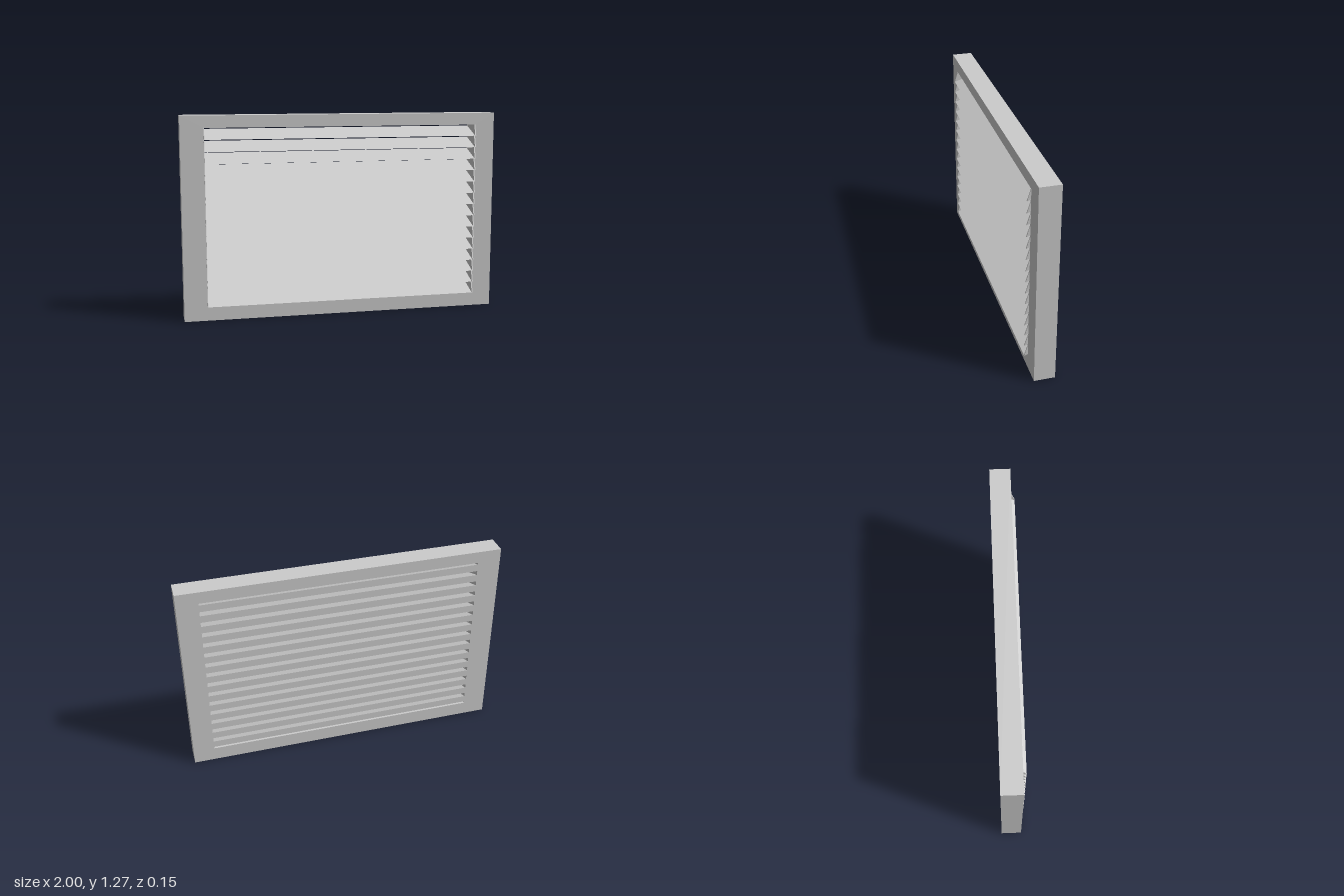
import * as THREE from 'three';

const BACK = -0.075, FACE = 0.053, TIP = 0.075;
const LEFT = -0.855, RIGHT = 0.867; // ends of the opening
const BOTTOM = 0.09, TOP = 1.192, HEIGHT = 1.267;
const COUNT = 15, FIRST = 0.09, PITCH = 0.0737;

const material = new THREE.MeshStandardMaterial({ color: 0xcccccc, flatShading: true });

function rectangle(target, x0, x1, y0, y1) {
  target.moveTo(x0, y0);
  target.lineTo(x1, y0);
  target.lineTo(x1, y1);
  target.lineTo(x0, y1);
  target.closePath();
  return target;
}

// Extrudes a [z, y] profile along x from x0 to x1
function extrudeAlongX(profile, x0, x1) {
  const shape = new THREE.Shape(profile.map(([z, y]) => new THREE.Vector2(-z, y)));
  const geometry = new THREE.ExtrudeGeometry(shape, { depth: x1 - x0, bevelEnabled: false });
  geometry.rotateY(Math.PI / 2);
  geometry.translate(x0, 0, 0);
  return geometry;
}

export function createModel() {
  const model = new THREE.Group();
  model.name = 'louveredVent';

  function add(name, geometry, parent = model) {
    const mesh = new THREE.Mesh(geometry, material);
    mesh.name = name;
    parent.add(mesh);
    return mesh;
  }

  // Surrounding frame with one large opening
  const outline = rectangle(new THREE.Shape(), -1, 1, 0, HEIGHT);
  outline.holes.push(rectangle(new THREE.Path(), LEFT, RIGHT, BOTTOM, TOP));
  const frame = new THREE.ExtrudeGeometry(outline, { depth: FACE - BACK, bevelEnabled: false });
  frame.translate(0, 0, BACK);
  add('frame', frame);

  // Wedge slats slope down to a sharp front lip
  const slat = extrudeAlongX([
    [TIP, 0], [BACK, 0.058], [BACK, 0.0125], [0.05, 0.007],
  ], LEFT, RIGHT);

  // Small triangular cheeks close the projecting ends
  const cheekProfile = [[TIP, 0], [FACE, 0.072], [FACE, 0.0085]];
  const leftCheek = extrudeAlongX(cheekProfile, RIGHT, RIGHT + 0.007);
  const rightCheek = extrudeAlongX(cheekProfile, LEFT - 0.003, LEFT);

  for (let i = 0; i < COUNT; i++) {
    const louver = new THREE.Group();
    louver.name = 'louver' + (i + 1);
    louver.position.y = FIRST + i * PITCH;
    add('slat', slat, louver);
    add('leftCheek', leftCheek, louver);
    add('rightCheek', rightCheek, louver);
    model.add(louver);
  }
  return model;
}
